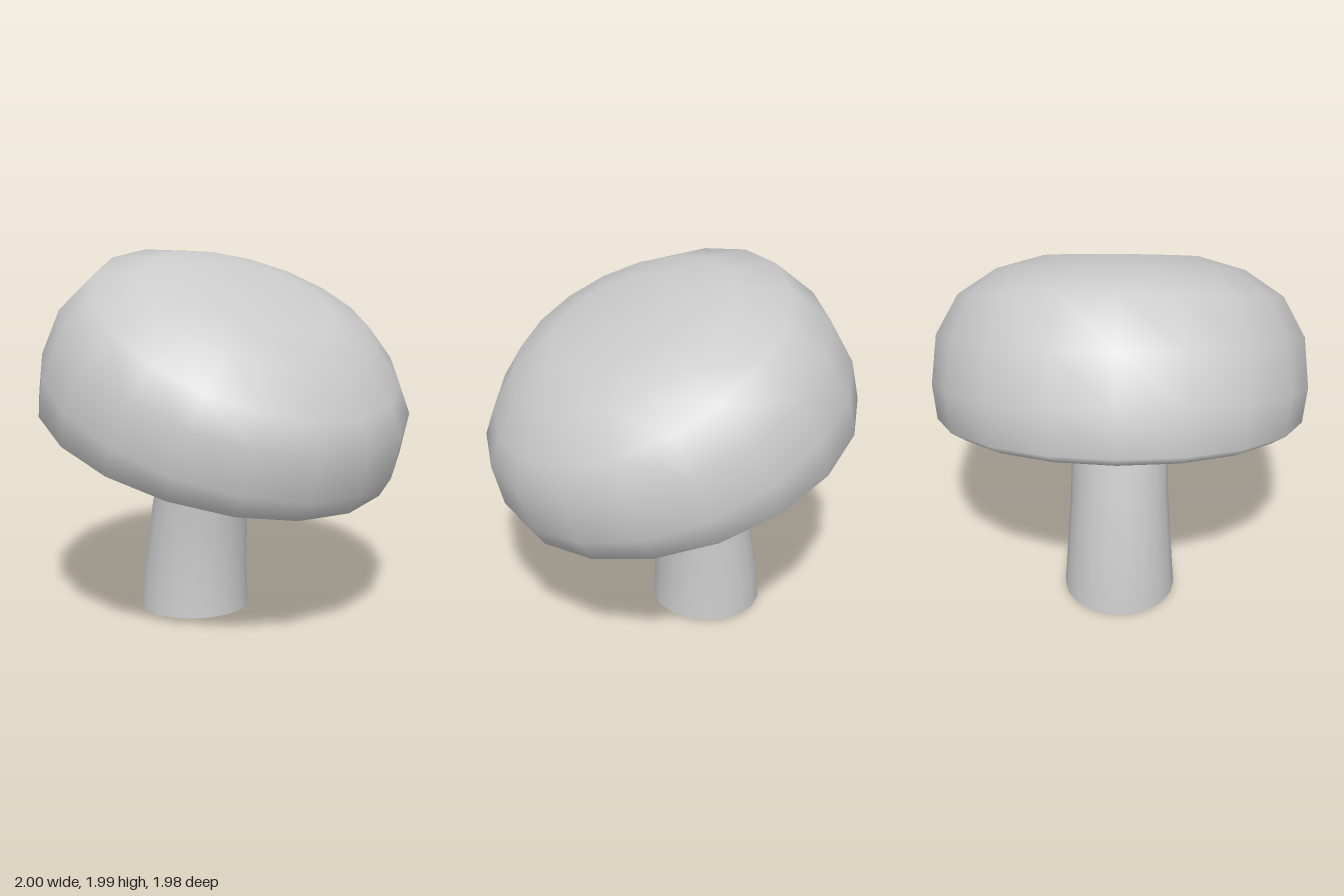
import * as THREE from 'three';
import { mergeVertices } from 'three/addons/utils/BufferGeometryUtils.js';

const SIDES = 18;
const TILT = THREE.MathUtils.degToRad(-16.5);

// Weld seams so the normals run smoothly all round
function smooth(geometry) {
  geometry.deleteAttribute('uv');
  geometry.deleteAttribute('normal');
  const welded = mergeVertices(geometry, 1e-4);
  welded.computeVertexNormals();
  return welded;
}

// Cap: hollow underside, rounded lip, and a dome whose rings lean, slide sideways and widen in z
function makeCap(material) {
  const rings = [ // radius, height, lean, shift, depth factor
    [0, 1.17, 0, 0, 1],
    [0.28, 1.155, 0, 0, 1],
    [0.52, 1.125, 0, 0, 1],
    [0.72, 1.06, 0, 0, 1],
    [0.86, 0.95, 0, 0, 1],
    [0.9, 0.918, 0.006, -0.015, 1],
    [0.98, 0.96, 0.013, -0.01, 1],
    [1.007, 1.135, 0.072, 0, 1],
    [0.972, 1.394, 0.096, 0.027, 1.012],
    [0.845, 1.59, 0.177, 0.062, 1.03],
    [0.63, 1.729, 0.142, 0.1, 1.06],
    [0.38, 1.797, 0.155, 0.12, 1.1],
    [0, 1.808, 0, 0.12, 1],
  ];
  const profile = rings.map(([r, y]) => new THREE.Vector2(r, y));
  const geometry = new THREE.LatheGeometry(profile, SIDES, Math.PI / 2);
  const p = geometry.attributes.position;
  for (let i = 0; i < p.count; i++) {
    const [, y, lean, shift, depth] = rings[i % rings.length];
    p.setXYZ(i, p.getX(i) + shift, y - lean * p.getX(i), p.getZ(i) * depth);
  }
  geometry.translate(-0.34, 0, 0);
  geometry.rotateZ(TILT);
  const cap = new THREE.Mesh(smooth(geometry), material);
  cap.name = 'cap';
  return cap;
}

// Bent, tapering stem that flares where it meets the cap
function makeStem(material) {
  const rings = [ // centre x, centre y, radius, tilt
    [-0.213, 0.008, 0.305, 0.02],
    [-0.207, 0.2, 0.292, -0.03],
    [-0.167, 0.585, 0.267, -0.13],
    [-0.08, 0.97, 0.26, -0.28],
    [-0.035, 1.13, 0.262, -0.29],
    [-0.015, 1.2, 0.29, -0.29],
  ];
  const last = rings.length - 1;
  const geometry = new THREE.CylinderGeometry(1, 1, 1, SIDES, last, true);
  const p = geometry.attributes.position;
  for (let i = 0; i < p.count; i++) {
    const [x, y, radius, tilt] = rings[Math.round((p.getY(i) + 0.5) * last)];
    const across = p.getX(i) * radius;
    p.setXYZ(i, x + across * Math.cos(tilt), y + across * Math.sin(tilt), p.getZ(i) * radius);
  }
  const stem = new THREE.Mesh(smooth(geometry), material);
  stem.name = 'stem';
  return stem;
}

export function createModel() {
  const material = new THREE.MeshStandardMaterial({ color: 0xcccccc, side: THREE.DoubleSide });
  const mushroom = new THREE.Group();
  mushroom.name = 'mushroom';
  mushroom.add(makeCap(material), makeStem(material));
  return mushroom;
}
